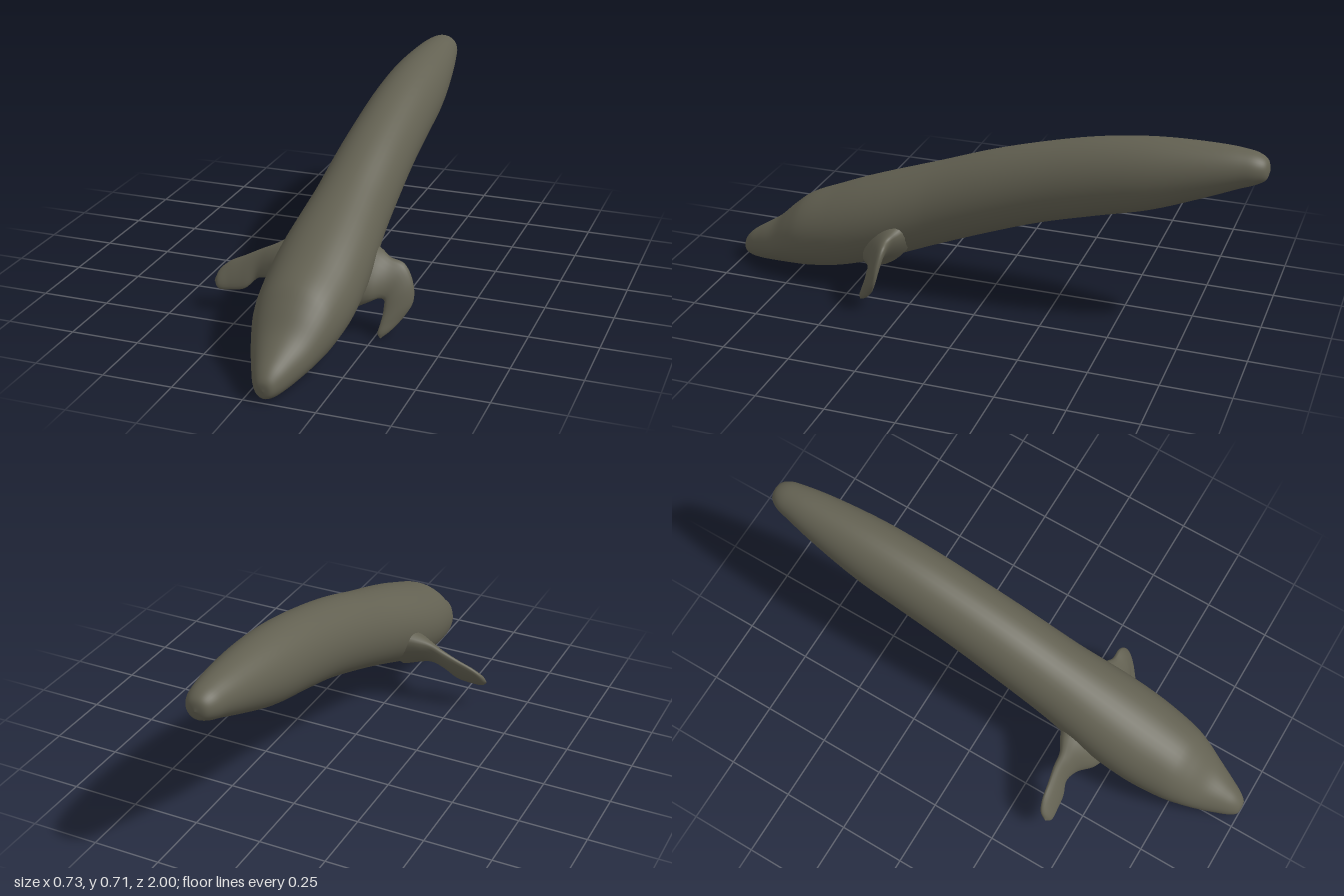
import * as THREE from 'three';

const V = (x, y, z) => new THREE.Vector3(x, y, z);

// Skins a closed tube over rings of equal size; a spline runs along each rib
function skin(rings, steps) {
  const sides = rings[0].length, pos = [], idx = [];
  const ribs = rings[0].map((_, j) => new THREE.CatmullRomCurve3(rings.map(r => r[j])));
  for (let i = 0; i <= steps; i++) {
    for (let j = 0; j < sides; j++) pos.push(...ribs[j].getPoint(i / steps).toArray());
  }
  for (let i = 0; i < steps; i++) {
    for (let j = 0; j < sides; j++) {
      const k = (j + 1) % sides;
      const a = i * sides + j, b = i * sides + k, c = a + sides, d = b + sides;
      idx.push(a, c, b, b, c, d);
    }
  }
  const geo = new THREE.BufferGeometry();
  geo.setAttribute('position', new THREE.Float32BufferAttribute(pos, 3));
  geo.setIndex(idx);
  geo.computeVertexNormals();
  return geo;
}

// Ellipse about a centre, spanned by two half axes
function ellipse(center, u, v, sides) {
  return Array.from({ length: sides }, (_, j) => {
    const t = (j / sides) * Math.PI * 2;
    return center.clone().addScaledVector(u, Math.cos(t)).addScaledVector(v, Math.sin(t));
  });
}

// Flipper from stations of [upper edge, lower edge, half thickness]
function flipper(stations) {
  const mids = stations.map(([a, b]) => V(...a).add(V(...b)).multiplyScalar(0.5));
  const rings = stations.map(([a, b, thick], i) => {
    const u = V(...a).sub(V(...b)).multiplyScalar(0.5);
    const path = mids[Math.min(i + 1, mids.length - 1)].clone().sub(mids[Math.max(i - 1, 0)]);
    const v = u.clone().cross(path).normalize().multiplyScalar(thick);
    return ellipse(mids[i], u, v, 20);
  });
  return skin(rings, 48);
}

export function createModel() {
  const group = new THREE.Group();
  const skinMat = new THREE.MeshStandardMaterial({ color: 0x636152 });
  skinMat.name = 'olive grey skin';
  const add = (name, geo) => {
    const mesh = new THREE.Mesh(geo, skinMat);
    mesh.name = name;
    group.add(mesh);
  };

  // Body, snout to tail: z, top, bottom, half width
  const body = [
    [1.0, 0.045, 0.045, 0.0], [0.995, 0.075, 0.018, 0.026], [0.97, 0.105, 0.006, 0.047],
    [0.92, 0.14, 0.003, 0.072], [0.85, 0.185, 0.008, 0.103], [0.78, 0.25, 0.012, 0.13],
    [0.72, 0.297, 0.016, 0.147], [0.6, 0.35, 0.035, 0.163], [0.5, 0.392, 0.062, 0.166],
    [0.4, 0.43, 0.098, 0.162], [0.3, 0.466, 0.14, 0.153], [0.2, 0.502, 0.182, 0.144],
    [0.0, 0.575, 0.262, 0.136], [-0.2, 0.634, 0.335, 0.129], [-0.4, 0.681, 0.392, 0.124],
    [-0.6, 0.708, 0.446, 0.115], [-0.8, 0.715, 0.525, 0.09], [-0.9, 0.711, 0.568, 0.071],
    [-0.96, 0.7, 0.592, 0.056], [-0.99, 0.68, 0.612, 0.035], [-1.0, 0.645, 0.645, 0.0],
  ];
  add('body', skin(body.map(([z, top, bottom, w]) =>
    ellipse(V(0.07, (top + bottom) / 2, z), V(w, 0, 0), V(0, (top - bottom) / 2, 0), 40)), 100));

  // Left flipper, curled down and forward
  add('leftFlipper', flipper([
    [[0.17, 0.3, 0.27], [0.17, 0.11, 0.45], 0.07],
    [[0.235, 0.278, 0.3], [0.232, 0.135, 0.43], 0.042],
    [[0.27, 0.262, 0.32], [0.26, 0.14, 0.405], 0.026],
    [[0.32, 0.245, 0.32], [0.272, 0.13, 0.395], 0.02],
    [[0.355, 0.185, 0.33], [0.273, 0.11, 0.4], 0.018],
    [[0.362, 0.118, 0.345], [0.273, 0.085, 0.41], 0.016],
    [[0.337, 0.068, 0.37], [0.268, 0.052, 0.425], 0.014],
    [[0.3, 0.024, 0.41], [0.263, 0.02, 0.437], 0.01],
    [[0.274, 0.004, 0.435], [0.272, 0.004, 0.437], 0.001],
  ]));

  // Right flipper, stretched out sideways
  add('rightFlipper', flipper([
    [[-0.03, 0.3, 0.28], [-0.03, 0.12, 0.47], 0.07],
    [[-0.1, 0.28, 0.31], [-0.1, 0.135, 0.45], 0.045],
    [[-0.15, 0.258, 0.335], [-0.155, 0.15, 0.405], 0.026],
    [[-0.2, 0.235, 0.34], [-0.2, 0.14, 0.39], 0.02],
    [[-0.26, 0.205, 0.35], [-0.245, 0.1, 0.405], 0.018],
    [[-0.32, 0.176, 0.36], [-0.3, 0.089, 0.412], 0.016],
    [[-0.353, 0.145, 0.375], [-0.345, 0.09, 0.414], 0.012],
    [[-0.364, 0.114, 0.398], [-0.364, 0.11, 0.4], 0.001],
  ]));

  return group;
}
